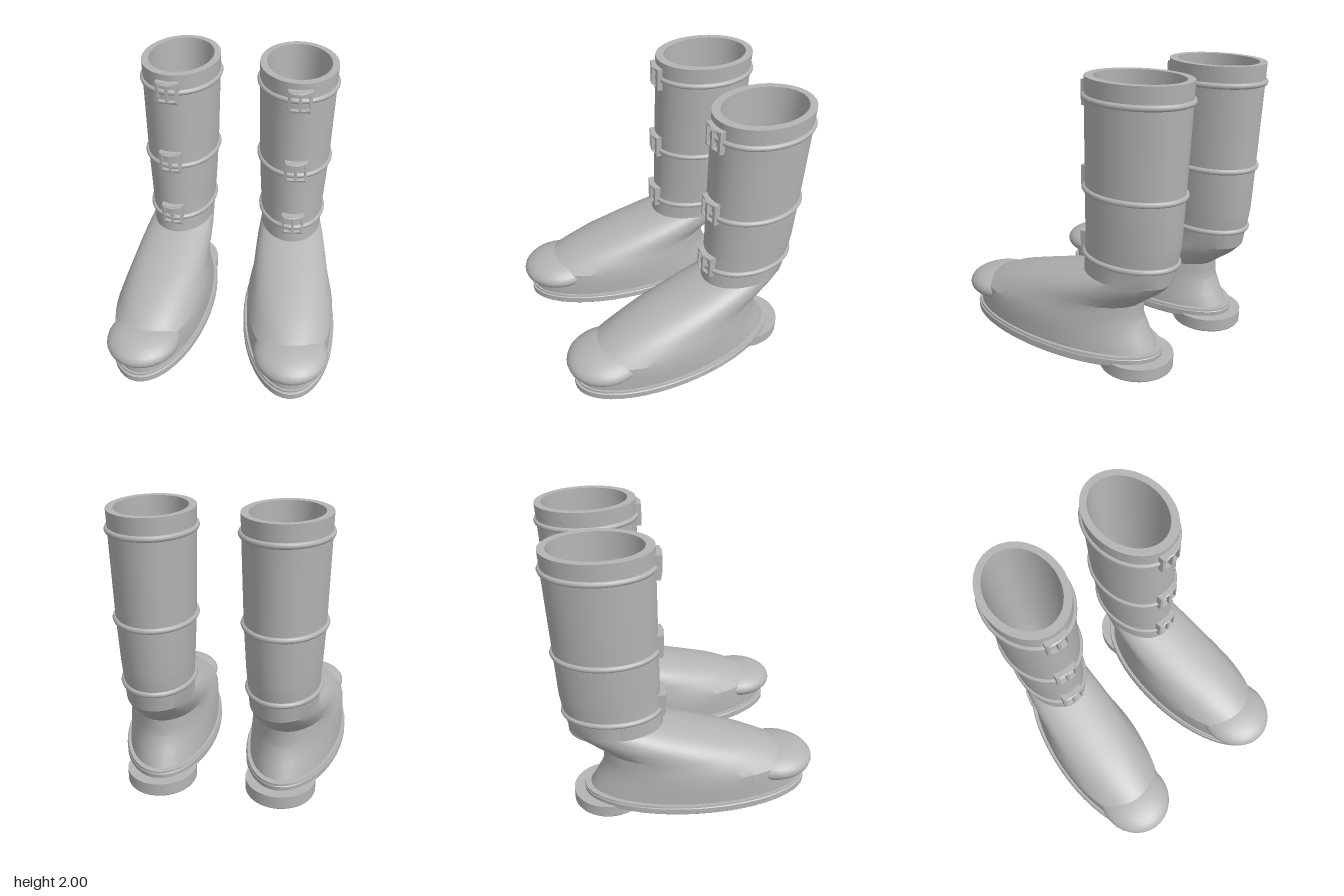
import * as THREE from 'three';
import { toCreasedNormals } from 'three/addons/utils/BufferGeometryUtils.js';

const leather = new THREE.MeshStandardMaterial({ color: 0xb4b4b4 });
leather.name = 'grey leather';

const SEG = 48;

function addMesh(group, name, geometry) {
  const mesh = new THREE.Mesh(geometry, leather);
  mesh.name = name;
  group.add(mesh);
  return mesh;
}

// Loft through elliptical rings given as [y, back z, front z, half width]
function loft(rings, crease = 0.45) {
  const pos = [], index = [];
  for (const [y, back, front, rx] of rings) {
    for (let j = 0; j < SEG; j++) {
      const t = (j / SEG) * Math.PI * 2;
      pos.push(rx * Math.sin(t), y, (back + front) / 2 + ((front - back) / 2) * Math.cos(t));
    }
  }
  for (let i = 0; i < rings.length - 1; i++) {
    for (let j = 0; j < SEG; j++) {
      const a = i * SEG + j, b = i * SEG + ((j + 1) % SEG);
      const flatStart = rings[i][3] === 0, flatEnd = rings[i + 1][3] === 0;
      if (!flatStart) index.push(a, b, b + SEG);
      if (!flatEnd) index.push(a, b + SEG, a + SEG);
      if (flatStart && flatEnd) index.length -= 3;
    }
  }
  const g = new THREE.BufferGeometry();
  g.setAttribute('position', new THREE.Float32BufferAttribute(pos, 3));
  g.setIndex(index);
  return toCreasedNormals(g, crease);
}

// Outside of the boot from welt to rim
const OUTER = [
  [0.12, -0.70, 0.87, 0.33],
  [0.145, -0.69, 0.87, 0.33],
  [0.24, -0.635, 0.855, 0.33],
  [0.34, -0.585, 0.82, 0.327],
  [0.40, -0.582, 0.70, 0.311],
  [0.47, -0.582, 0.55, 0.29],
  [0.54, -0.67, 0.32, 0.275],
  [0.60, -0.748, 0.11, 0.26],
  [0.67, -0.815, -0.155, 0.235],
  [0.80, -0.84, -0.165, 0.24],
  [0.88, -0.855, -0.17, 0.245],
  [0.95, -0.865, -0.174, 0.25],
  [1.27, -0.88, -0.18, 0.267],
  [2.0, -0.915, -0.19, 0.285],
];

// Interpolated ring of the shaft at a height
function ringAt(y) {
  const i = OUTER.findIndex((r) => r[0] >= y);
  const a = OUTER[i - 1], b = OUTER[i];
  const k = (y - a[0]) / (b[0] - a[0]);
  return a.map((v, n) => v + (b[n] - v) * k);
}

function strapGeometry(y) {
  const [, back, front, rx] = ringAt(y);
  const pts = [];
  for (let j = 0; j < SEG; j++) {
    const t = (j / SEG) * Math.PI * 2;
    pts.push(new THREE.Vector3(rx * Math.sin(t), y, (back + front) / 2 + ((front - back) / 2) * Math.cos(t)));
  }
  return new THREE.TubeGeometry(new THREE.CatmullRomCurve3(pts, true), SEG, 0.02, 8, true);
}

// Two-window buckle frame, bent around the shaft
function buckleGeometry() {
  const w = 0.083, h = 0.083, bar = 0.02, mid = 0.01;
  const path = (p, C) => new C(p.map(([x, y]) => new THREE.Vector2(x, y)));
  const shape = path([[-w, -h], [0, -h], [w, -h], [w, h], [0, h], [-w, h]], THREE.Shape);
  for (const s of [-1, 1]) {
    const a = s * mid, b = s * (w - bar), v = h - bar;
    shape.holes.push(path([[a, -v], [b, -v], [b, v], [a, v]], THREE.Path));
  }
  const g = new THREE.ExtrudeGeometry(shape, { depth: 0.05, bevelEnabled: false });
  const p = g.attributes.position;
  for (let i = 0; i < p.count; i++) p.setZ(i, p.getZ(i) - p.getX(i) ** 2 / 0.44);
  g.computeVertexNormals();
  return g;
}

function createBoot() {
  const boot = new THREE.Group();

  // Hollow upper: outside, rim, lining and insole
  const lining = OUTER.slice(2).reverse().map(([y, b, f, rx]) => [y, b + 0.05, f - 0.06, rx - 0.05]);
  addMesh(boot, 'bootUpper', loft([...OUTER, ...lining, [0.24, 0.11, 0.11, 0]]));

  // Sole with a stepped welt
  addMesh(boot, 'sole', loft([
    [0.07, 0.08, 0.08, 0],
    [0.07, -0.72, 0.89, 0.348],
    [0.08, -0.735, 0.9, 0.357],
    [0.125, -0.74, 0.9, 0.357],
    [0.13, -0.735, 0.885, 0.352],
    [0.145, -0.735, 0.885, 0.348],
    [0.145, 0.08, 0.08, 0],
  ]));

  addMesh(boot, 'heel', loft([
    [0, -0.5525, -0.5525, 0],
    [0, -0.81, -0.295, 0.243],
    [0.008, -0.815, -0.29, 0.2475],
    [0.095, -0.815, -0.29, 0.2475],
    [0.095, -0.5525, -0.5525, 0],
  ]));

  // Rounded toe cap
  const cap = addMesh(boot, 'toeCap', new THREE.SphereGeometry(1, 32, 16));
  cap.scale.set(0.268, 0.113, 0.287);
  cap.position.set(0, 0.292, 0.655);

  // Straps and their buckles
  for (const [strapY, buckleY] of [[0.805, 0.84], [1.27, 1.307], [1.87, 1.872]]) {
    addMesh(boot, 'strap', strapGeometry(strapY));
    const buckle = addMesh(boot, 'buckle', buckleGeometry());
    buckle.position.set(0, buckleY, ringAt(buckleY)[2] - 0.012);
  }
  return boot;
}

export function createModel() {
  const model = new THREE.Group();
  model.name = 'pairOfBoots';
  // Toes turn slightly outwards
  for (const side of [1, -1]) {
    const boot = createBoot();
    boot.name = side > 0 ? 'leftBoot' : 'rightBoot';
    boot.position.x = side * 0.481;
    boot.rotation.y = side * 0.09;
    model.add(boot);
  }
  return model;
}
